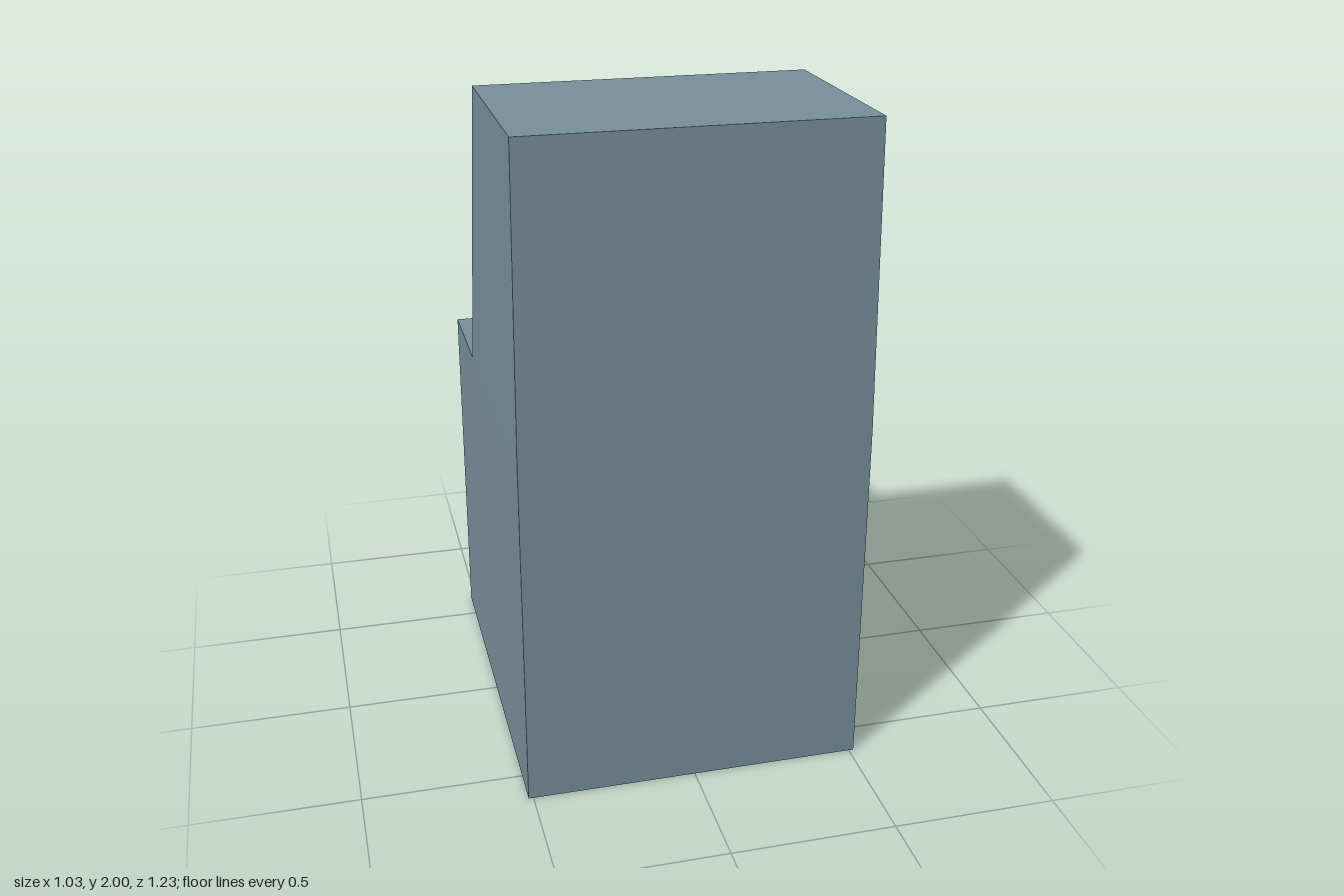
import * as THREE from 'three';

const mat = (color, flatShading = false) => new THREE.MeshStandardMaterial({ color, flatShading });

// four corners at height y, counter-clockwise from above
const ring = (y, x, zFront, zBack) => [[-x, y, zFront], [-x, y, zBack], [x, y, zBack], [x, y, zFront]];

// four corners of a leaning panel that faces -z
const panel = (x0, y0, z0, x1, y1, z1) => [[x0, y0, z0], [-x0, y0, z0], [-x1, y1, z1], [x1, y1, z1]];

function quadGeometry(quads) {
  const points = quads.flatMap(([a, b, c, d]) => [a, b, c, a, c, d]);
  const geometry = new THREE.BufferGeometry();
  geometry.setAttribute('position', new THREE.Float32BufferAttribute(points.flat(), 3));
  geometry.computeVertexNormals();
  return geometry;
}

// quads joining two loops, on the chosen sides only
const loft = (a, b, sides = [0, 1, 2, 3]) =>
  sides.map(i => [a[i], a[(i + 1) % 4], b[(i + 1) % 4], b[i]]);

export function createModel() {
  const model = new THREE.Group();
  model.name = 'arcadeCabinet';

  const add = (parent, name, geometry, material, x = 0, y = 0, z = 0) => {
    const mesh = new THREE.Mesh(geometry, material);
    mesh.name = name;
    mesh.position.set(x, y, z);
    parent.add(mesh);
    return mesh;
  };

  // cabinet: straight base, control deck, slightly tapered upper half
  const deckY = 1.09;
  const floor = ring(0, 0.515, -0.615, 0.615);
  const waist = ring(deckY, 0.515, -0.615, 0.615);
  const shoulder = ring(deckY, 0.515, -0.25, 0.615);
  const top = ring(2, 0.505, -0.055, 0.603);
  const opening = panel(0.515, deckY, -0.25, 0.505, 2, -0.055);
  const glass = panel(0.478, 1.118, -0.205, 0.468, 1.945, -0.043);
  add(model, 'cabinet', quadGeometry([
    [...floor].reverse(),
    ...loft(floor, waist),
    ...loft(waist, shoulder, [3]),
    ...loft(shoulder, top, [0, 1, 2]),
    top,
    ...loft(opening, glass), // bevelled screen surround
  ]), mat(0x78909c, true));
  add(model, 'screen', quadGeometry([glass]), mat(0x212121));

  // controls: one joystick and four buttons per player
  const dark = mat(0x212121, true), metal = mat(0x9e9e9e), red = mat(0xf44336);
  const baseShape = new THREE.CylinderGeometry(0.052, 0.052, 0.007, 12);
  const shaftShape = new THREE.CylinderGeometry(0.009, 0.009, 0.06, 12);
  const ballShape = new THREE.SphereGeometry(0.031, 16, 12);
  const buttonShape = new THREE.CylinderGeometry(0.026, 0.026, 0.008, 20);
  const buttons = [
    ['purpleButton', mat(0x9c27b0), -0.196, -0.058],
    ['yellowButton', mat(0xffeb3b), -0.25, 0.007],
    ['cyanButton', mat(0x00bcd4), -0.133, -0.004],
    ['greenButton', mat(0x8bc34a), -0.186, 0.061],
  ];
  for (const [name, x] of [['leftControls', 0.345], ['rightControls', -0.137]]) {
    const controls = new THREE.Group();
    controls.name = name;
    controls.position.set(x, deckY, -0.45);
    add(controls, 'joystickBase', baseShape, dark, 0, 0.0035);
    add(controls, 'joystickShaft', shaftShape, metal, 0, 0.03);
    add(controls, 'joystickBall', ballShape, red, 0, 0.073);
    for (const [label, material, bx, bz] of buttons) add(controls, label, buttonShape, material, bx, 0.004, bz);
    model.add(controls);
  }
  return model;
}
